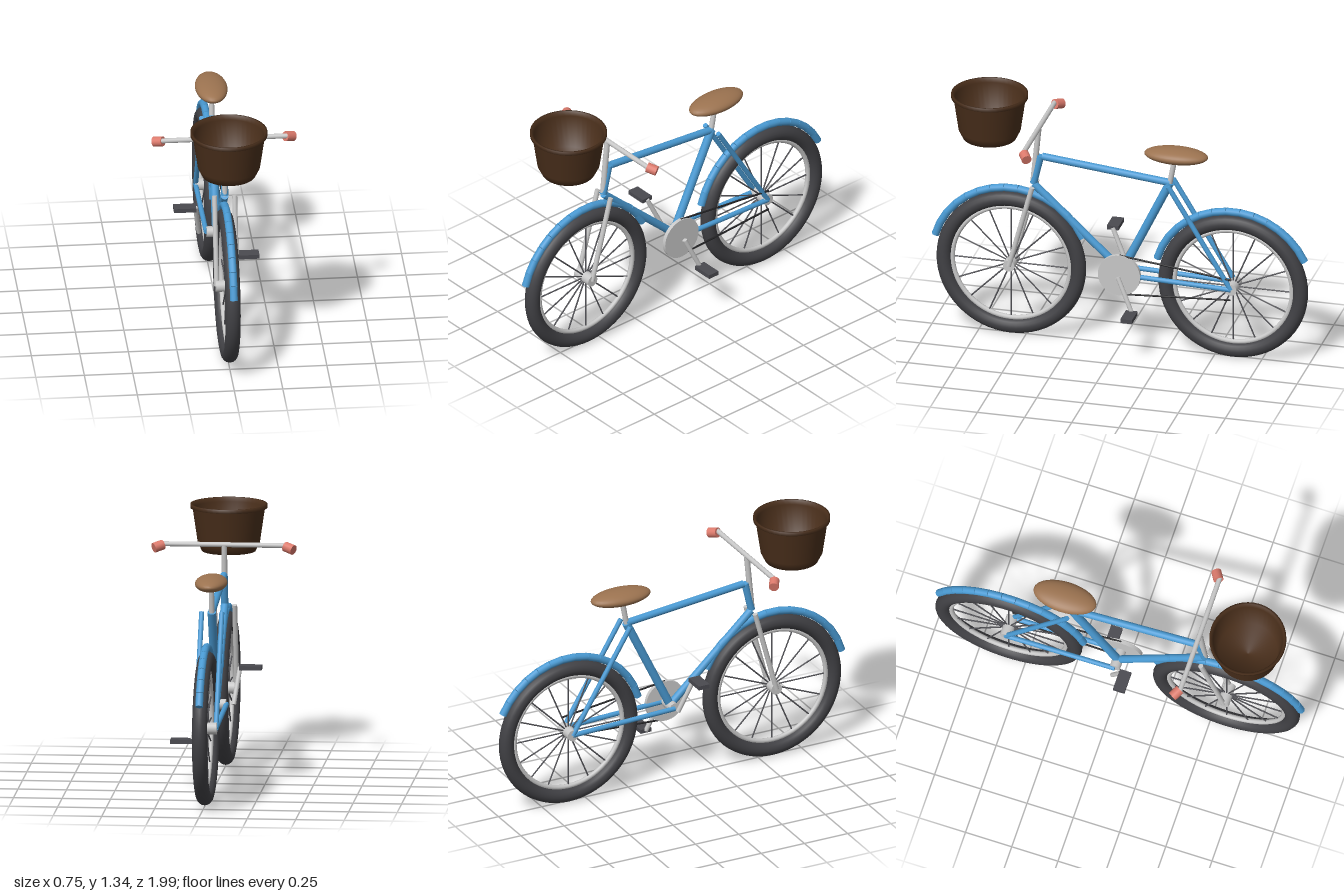
import * as THREE from 'three';

const paint = (name, color, side = THREE.FrontSide) => {
  const m = new THREE.MeshStandardMaterial({ color, side });
  m.name = name;
  return m;
};

export function createModel() {
  const bike = new THREE.Group();
  bike.name = 'bicycle';

  const blue = paint('frame blue', 0x4a9bd4);
  const metal = paint('light metal', 0xc8c8c8);
  const rubber = paint('tyre rubber', 0x414145);
  const spokeGrey = paint('spoke grey', 0x55555a);
  const black = paint('chain black', 0x222224);
  const pedalGrey = paint('pedal grey', 0x4a4a50);
  const leather = paint('saddle tan', 0x9c7350);
  const wicker = paint('basket brown', 0x4a2f1b, THREE.DoubleSide);
  const coral = paint('grip coral', 0xdc7a6c);

  const add = (name, geometry, material, parent = bike) => {
    const mesh = new THREE.Mesh(geometry, material);
    mesh.name = name;
    parent.add(mesh);
    return mesh;
  };

  // Straight round bar between two points
  const up = new THREE.Vector3(0, 1, 0);
  const bar = (name, a, b, r, material, parent = bike, sides = 16) => {
    const p = new THREE.Vector3(...a), q = new THREE.Vector3(...b);
    const dir = q.clone().sub(p);
    const mesh = add(name, new THREE.CylinderGeometry(r, r, dir.length(), sides), material, parent);
    mesh.position.copy(p).add(q).multiplyScalar(0.5);
    mesh.quaternion.setFromUnitVectors(up, dir.normalize());
    return mesh;
  };

  // Wheels with mudguards
  const axleY = 0.4, frontZ = 0.58, rearZ = -0.597;
  const addWheel = (name, z) => {
    const wheel = new THREE.Group();
    wheel.name = name;
    wheel.position.set(0, axleY, z);
    bike.add(wheel);
    add('tyre', new THREE.TorusGeometry(0.357, 0.039, 16, 64), rubber, wheel).rotation.y = Math.PI / 2;
    add('rim', new THREE.TorusGeometry(0.312, 0.013, 10, 64), metal, wheel).rotation.y = Math.PI / 2;
    bar('hub', [-0.057, 0, 0], [0.057, 0, 0], 0.031, metal, wheel, 20);
    for (let i = 0; i < 16; i++) {
      const a = (i / 16) * Math.PI * 2;
      bar('spoke', [0, 0, 0], [0, Math.sin(a) * 0.31, Math.cos(a) * 0.31], 0.004, spokeGrey, wheel, 6);
    }
    // Mudguard made of short overlapping tubes
    const start = 0.27, end = 2.7, count = 14, step = (end - start) / count;
    const at = a => [0, Math.sin(a) * 0.418, Math.cos(a) * 0.418];
    for (let i = 0; i < count; i++) {
      bar('mudguardSegment', at(start + i * step), at(start + (i + 1) * step), 0.02, blue, wheel, 12);
    }
  };
  addWheel('frontWheel', frontZ);
  addWheel('rearWheel', rearZ);

  // Frame
  const crankY = 0.42, crankZ = -0.008;
  const bracket = [0, crankY, crankZ];
  const seatTop = [0, 0.945, -0.262];
  bar('topTube', [0, 1.015, 0.415], seatTop, 0.019, blue);
  bar('headTube', [0, 1.018, 0.425], [0, 0.86, 0.462], 0.019, blue);
  bar('downTube', [0, 0.855, 0.46], bracket, 0.02, blue);
  bar('seatTube', seatTop, bracket, 0.022, blue);
  bar('bottomBracket', [-0.05, crankY, crankZ], [0.05, crankY, crankZ], 0.028, metal);
  for (const s of [1, -1]) {
    const x = s * 0.052;
    bar('seatStay', [x, 0.945, -0.265], [x, axleY, rearZ], 0.013, blue);
    bar('chainStay', [x, crankY, crankZ], [x, axleY, rearZ], 0.013, blue);
    bar('forkLeg', [x, 0.855, 0.457], [x, axleY, frontZ], 0.013, metal);
  }

  // Saddle
  bar('seatPost', [0, 0.94, -0.26], [0, 1.09, -0.288], 0.014, metal);
  const saddle = add('saddle', new THREE.SphereGeometry(1, 32, 20), leather);
  saddle.scale.set(0.083, 0.04, 0.168);
  saddle.position.set(0, 1.103, -0.294);

  // Steering
  bar('stem', [0, 0.86, 0.465], [0, 1.172, 0.435], 0.015, metal);
  bar('handlebar', [-0.33, 1.172, 0.435], [0.33, 1.172, 0.435], 0.013, metal);
  for (const s of [1, -1]) {
    bar('grip', [s * 0.315, 1.168, 0.432], [s * 0.36, 1.155, 0.405], 0.026, coral);
  }

  // Basket with an open top and a thick rim
  const profile = [[0, 1.095], [0.138, 1.095], [0.16, 1.14], [0.186, 1.318], [0.198, 1.32], [0.198, 1.34],
    [0.188, 1.34], [0.178, 1.318], [0.153, 1.145], [0, 1.11]];
  const basketGeo = new THREE.LatheGeometry(profile.map(p => new THREE.Vector2(...p)), 40);
  add('basket', basketGeo, wicker).position.z = 0.695;

  // Chainring, chain, cranks and pedals
  bar('chainring', [0.048, crankY, crankZ], [0.068, crankY, crankZ], 0.112, metal, bike, 40);
  bar('chainTop', [0.058, 0.53, crankZ], [0.058, 0.457, rearZ], 0.005, black, bike, 8);
  bar('chainBottom', [0.058, 0.312, crankZ], [0.058, 0.345, rearZ], 0.005, black, bike, 8);
  for (const s of [1, -1]) {
    const y = crankY - s * 0.18, z = crankZ - s * 0.08;
    bar('crank', [s * 0.09, crankY, crankZ], [s * 0.115, y, z], 0.012, metal);
    add('pedal', new THREE.BoxGeometry(0.115, 0.022, 0.062), pedalGrey).position.set(s * 0.17, y, z);
  }

  return bike;
}
